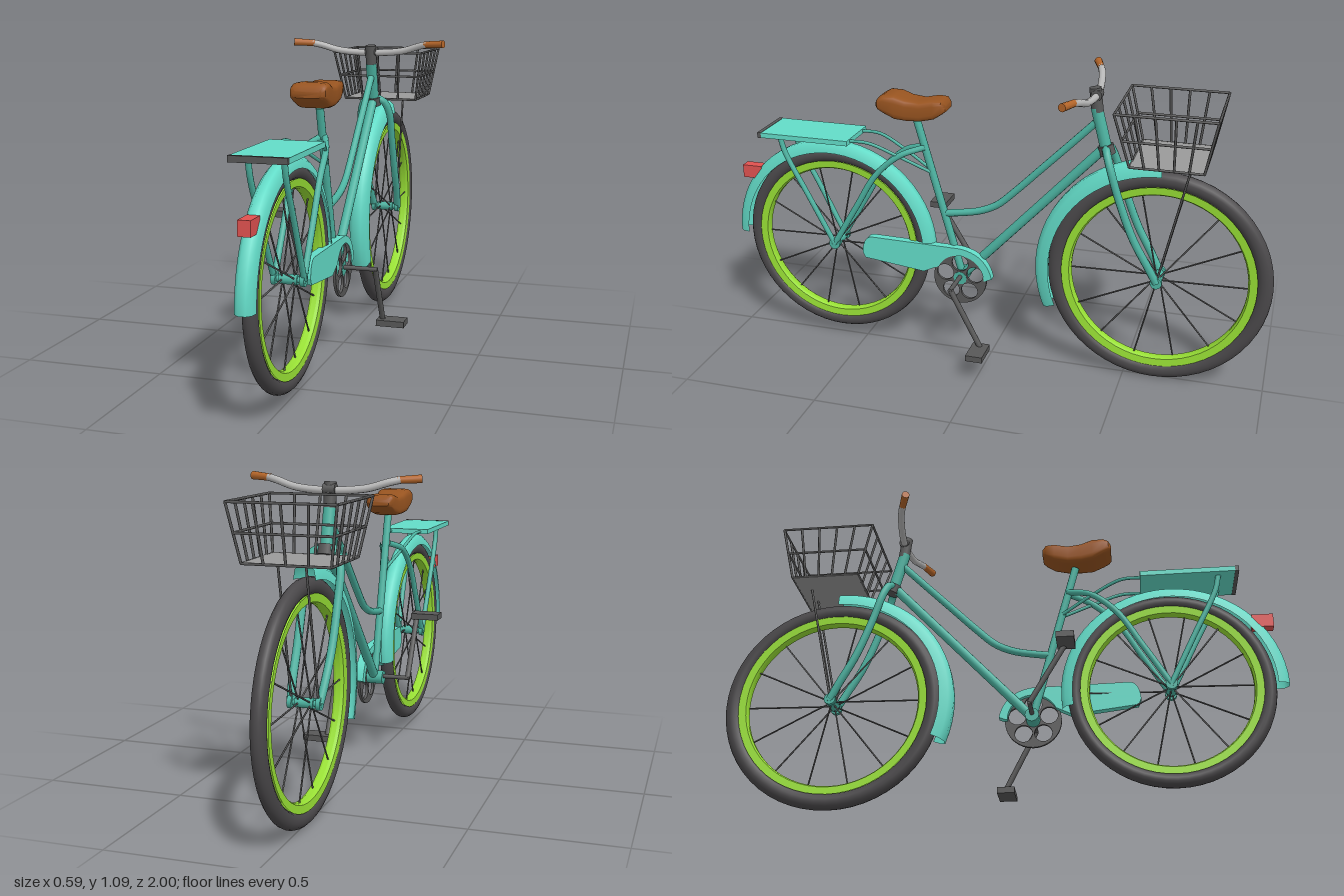
import * as THREE from 'three';
import { mergeGeometries, toCreasedNormals } from 'three/addons/utils/BufferGeometryUtils.js';

const mat = (color, side = THREE.FrontSide) => new THREE.MeshStandardMaterial({ color, side });
const V = (p) => new THREE.Vector3(...p);

// Straight round bar between two points
function rod(a, b, r, r2 = r, sides = 12) {
  const A = V(a), B = V(b), d = B.clone().sub(A);
  const g = new THREE.CylinderGeometry(r2, r, d.length(), sides);
  g.applyQuaternion(new THREE.Quaternion().setFromUnitVectors(new THREE.Vector3(0, 1, 0), d.normalize()));
  const m = A.add(B).multiplyScalar(0.5);
  return g.translate(m.x, m.y, m.z);
}
// Bent round tube through points
const bent = (pts, r) => new THREE.TubeGeometry(new THREE.CatmullRomCurve3(pts.map(V)), 28, r, 10);
const box = (w, h, d, x, y, z) => new THREE.BoxGeometry(w, h, d).translate(x, y, z);
// Flat plate from a shape drawn in (-z, y), spanning x0..x0+depth
const plate = (shape, x0, depth) =>
  new THREE.ExtrudeGeometry(shape, { depth, bevelEnabled: false, curveSegments: 24 }).rotateY(Math.PI / 2).translate(x0, 0, 0);
// Profile of [radius, x] turned about the x axis, from angle a to b (0 = +z, 90 = up)
function turned(profile, a, b, seg) {
  const rad = Math.PI / 180;
  return new THREE.LatheGeometry(profile.map(([r, x]) => new THREE.Vector2(r, x)), seg, -b * rad, (b - a) * rad).rotateZ(-Math.PI / 2);
}

export function createModel() {
  const root = new THREE.Group();
  const teal = mat(0x4cb3a1), panel = mat(0x63dcc8), panelOpen = mat(0x63dcc8, THREE.DoubleSide);
  const dark = mat(0x585858), tyreMat = mat(0x4a484a), lime = mat(0x98e035, THREE.DoubleSide);
  const metal = mat(0xb8b8b8), leather = mat(0x985420), gripMat = mat(0xb5662a), red = mat(0xe05250);
  const add = (name, geos, material, parent = root) => {
    const list = [].concat(geos).map((g) => (g.index ? g.toNonIndexed() : g));
    const mesh = new THREE.Mesh(mergeGeometries(list), material);
    mesh.name = name;
    parent.add(mesh);
    return mesh;
  };
  const both = (f) => [f(1), f(-1)];
  const rearZ = 0.595, frontZ = -0.607, hubY = 0.4;

  // Wheels
  function wheel(name, z, R, section, rimWidth) {
    const g = new THREE.Group();
    g.name = name;
    g.position.set(0, hubY, z);
    const inner = R - 2 * section;
    add('tyre', new THREE.TorusGeometry(R - section, section, 14, 56).rotateY(Math.PI / 2).scale(0.024 / section, 1, 1), tyreMat, g);
    const o = inner + 0.006, i = inner - rimWidth;
    add('rim', toCreasedNormals(turned([[o, -0.02], [i + 0.006, -0.018], [i, -0.008], [i, 0.008], [i + 0.006, 0.018], [o, 0.02]], 0, 360, 56), 0.6), lime, g);
    const spokes = [];
    for (let k = 0; k < 14; k++) {
      const a = (k / 14) * Math.PI * 2, s = k % 2 ? 1 : -1;
      spokes.push(rod([s * 0.02, 0.015 * Math.sin(a), 0.015 * Math.cos(a)], [s * 0.004, i * Math.sin(a), i * Math.cos(a)], 0.003, 0.003, 5));
    }
    add('spokes', spokes, dark, g);
    add('hub', [rod([-0.03, 0, 0], [0.03, 0, 0], 0.017), rod([-0.056, 0, 0], [0.056, 0, 0], 0.01),
      ...both((s) => rod([s * 0.04, 0, 0], [s * 0.055, 0, 0], 0.021))], teal, g);
    root.add(g);
  }
  wheel('frontWheel', frontZ, 0.395, 0.029, 0.027);
  wheel('rearWheel', rearZ, 0.36, 0.025, 0.026);

  // Mudguards
  const guardProfile = (R, w, d) => [[R - d, -w], [R - d * 0.35, -w * 0.85], [R, -w * 0.4], [R, w * 0.4], [R - d * 0.35, w * 0.85], [R - d, w]];
  add('rearMudguard', turned(guardProfile(0.393, 0.031, 0.04), 0, 188, 32), panelOpen).position.set(0, 0.396, 0.605);
  add('frontMudguard', turned(guardProfile(0.435, 0.037, 0.05), -22, 90, 22), panelOpen).position.set(0, hubY, -0.603);

  // Frame
  const crank = [0, 0.315, 0.11];
  add('frame', [
    rod(crank, [0, 0.9, 0.275], 0.014),
    bent([[0, 0.95, -0.37], [0, 0.855, -0.276], [0, 0.76, -0.181], [0, 0.667, -0.088], [0, 0.606, -0.02], [0, 0.576, 0.045], [0, 0.562, 0.11], [0, 0.552, 0.178]], 0.013),
    rod([0, 0.86, -0.4], crank, 0.017),
    rod([0, 0.85, -0.407], [0, 1.0, -0.367], 0.021),
    rod([-0.035, crank[1], crank[2]], [0.035, crank[1], crank[2]], 0.025),
  ], teal);
  add('rearStays', both((s) => bent([[s * 0.008, 0.8, 0.245], [s * 0.038, 0.77, 0.33], [s * 0.046, 0.69, 0.42],
    [s * 0.048, 0.56, 0.5], [s * 0.048, hubY, rearZ]], 0.011)), teal);

  // Fork
  add('fork', both((s) => bent([[s * 0.008, 0.862, -0.405], [s * 0.035, 0.855, -0.413], [s * 0.056, 0.81, -0.43],
    [s * 0.059, 0.7, -0.465], [s * 0.058, 0.56, -0.52], [s * 0.054, 0.46, -0.575], [s * 0.048, hubY, frontZ]], 0.014)), teal);
  add('headset', rod([0, 0.838, -0.412], [0, 0.87, -0.402], 0.028), dark);

  // Steering
  add('stem', [rod([0, 0.985, -0.371], [0, 1.068, -0.36], 0.021), rod([-0.021, 1.045, -0.368], [0.021, 1.045, -0.368], 0.019)], dark);
  add('handlebar', bent([[-0.225, 1.077, -0.335], [-0.19, 1.069, -0.346], [-0.12, 1.049, -0.358], [0, 1.041, -0.367],
    [0.12, 1.049, -0.358], [0.19, 1.069, -0.346], [0.225, 1.077, -0.335]], 0.0125), metal);
  add('grips', both((s) => rod([s * 0.215, 1.076, -0.338], [s * 0.29, 1.08, -0.312], 0.012, 0.014)), gripMat);

  // Saddle lofted along z: [z, half width, bottom, top]
  const stations = [[0.157, 0.038, 0.945, 0.968], [0.17, 0.05, 0.935, 0.983], [0.2, 0.053, 0.915, 0.986], [0.25, 0.053, 0.903, 0.975],
    [0.3, 0.056, 0.902, 0.98], [0.34, 0.061, 0.906, 0.993], [0.38, 0.062, 0.925, 0.993], [0.4, 0.06, 0.938, 0.982], [0.409, 0.048, 0.945, 0.968]];
  const N = 24, pos = [], idx = [];
  const squash = (v) => Math.sign(v) * Math.abs(v) ** 0.42;
  for (const [z, w, lo, hi] of stations)
    for (let k = 0; k < N; k++) {
      const a = ((k + 0.5) / N) * Math.PI * 2;
      pos.push(w * squash(Math.cos(a)), (lo + hi) / 2 + ((hi - lo) / 2) * squash(Math.sin(a)), z);
    }
  for (let j = 0; j < stations.length - 1; j++)
    for (let k = 0; k < N; k++) {
      const a = j * N + k, b = j * N + ((k + 1) % N);
      idx.push(a, b, a + N, b, b + N, a + N);
    }
  const last = (stations.length - 1) * N;
  for (let k = 1; k < N - 1; k++) idx.push(0, k + 1, k, last, last + k, last + k + 1);
  const saddle = new THREE.BufferGeometry();
  saddle.setAttribute('position', new THREE.Float32BufferAttribute(pos, 3));
  saddle.setIndex(idx);
  add('saddle', toCreasedNormals(saddle, 0.8), leather);

  // Rear carrier and lamp
  add('carrier', box(0.184, 0.018, 0.335, 0, 0.815, 0.675), panel);
  add('carrierEnd', box(0.184, 0.02, 0.014, 0, 0.815, 0.849), dark);
  add('carrierStays', both((s) => [
    bent([[s * 0.056, 0.81, 0.785], [s * 0.056, 0.75, 0.77], [s * 0.054, 0.58, 0.685], [s * 0.05, hubY, rearZ]], 0.01),
    bent([[s * 0.06, 0.815, 0.52], [s * 0.058, 0.813, 0.44], [s * 0.04, 0.77, 0.34], [s * 0.01, 0.71, 0.225]], 0.006),
  ]).flat(), teal);
  add('rearLamp', box(0.04, 0.048, 0.075, 0, 0.64, 0.928), red);

  // Chain guard with a notch over the chainring
  const guard = new THREE.Shape();
  guard.moveTo(-0.49, 0.375);
  guard.quadraticCurveTo(-0.485, 0.437, -0.45, 0.438);
  guard.lineTo(-0.11, 0.433);
  guard.quadraticCurveTo(-0.01, 0.42, 0.01, 0.325);
  guard.lineTo(-0.015, 0.315);
  guard.absarc(-0.11, 0.315, 0.09, 0, Math.PI * 0.86, false);
  guard.lineTo(-0.25, 0.325);
  guard.lineTo(-0.48, 0.352);
  add('chainGuard', plate(guard, 0.006, 0.03), panel);

  // Chainring
  const ring = new THREE.Shape().absarc(0, 0, 0.1, 0, Math.PI * 2);
  for (let k = 0; k < 5; k++) {
    const a = Math.PI / 2 + (k * Math.PI * 2) / 5;
    ring.holes.push(new THREE.Path().absarc(0.059 * Math.cos(a), 0.059 * Math.sin(a), 0.031, 0, Math.PI * 2, true));
  }
  add('chainring', plate(ring, 0.024, 0.01), dark).position.set(0, crank[1], crank[2]);

  // Cranks and pedals
  add('cranks', [
    rod([-0.135, 0.32, 0.11], [0.156, 0.32, 0.11], 0.008),
    rod([0.148, 0.32, 0.11], [0.148, 0.105, 0.0], 0.01),
    rod([-0.127, 0.32, 0.11], [-0.127, 0.53, 0.235], 0.01),
  ], dark);
  add('pedals', [box(0.102, 0.022, 0.062, 0.181, 0.1, 0), box(0.102, 0.022, 0.062, -0.162, 0.532, 0.24)], dark);

  // Basket: t = 0 at the floor, 1 at the top
  const at = (u, v, t) => [u * (0.142 + 0.031 * t), 0.85 + 0.185 * t, -0.63 + 0.008 * t + v * (0.122 + 0.044 * t)];
  const wires = [];
  const corners = [[-1, -1], [1, -1], [1, 1], [-1, 1]];
  corners.forEach(([u, v], k) => {
    const [u2, v2] = corners[(k + 1) % 4];
    for (const t of [0, 0.5, 1]) wires.push(rod(at(u, v, t), at(u2, v2, t), 0.0045, 0.0045, 6));
    const n = k % 2 ? 5 : 4;
    for (let j = 0; j < n; j++) {
      const f = j / n, a = u + (u2 - u) * f, b = v + (v2 - v) * f;
      wires.push(rod(at(a, b, 0), at(a, b, 1), 0.0045, 0.0045, 6));
    }
  });
  add('basketWires', wires, dark);
  add('basketFloor', box(0.284, 0.006, 0.244, 0, 0.85, -0.63), mat(0x9a9a9a));
  add('basketStays', both((s) => rod([s * 0.045, 0.85, -0.705], [s * 0.045, hubY, frontZ], 0.004, 0.004, 6)), dark);

  return root;
}
